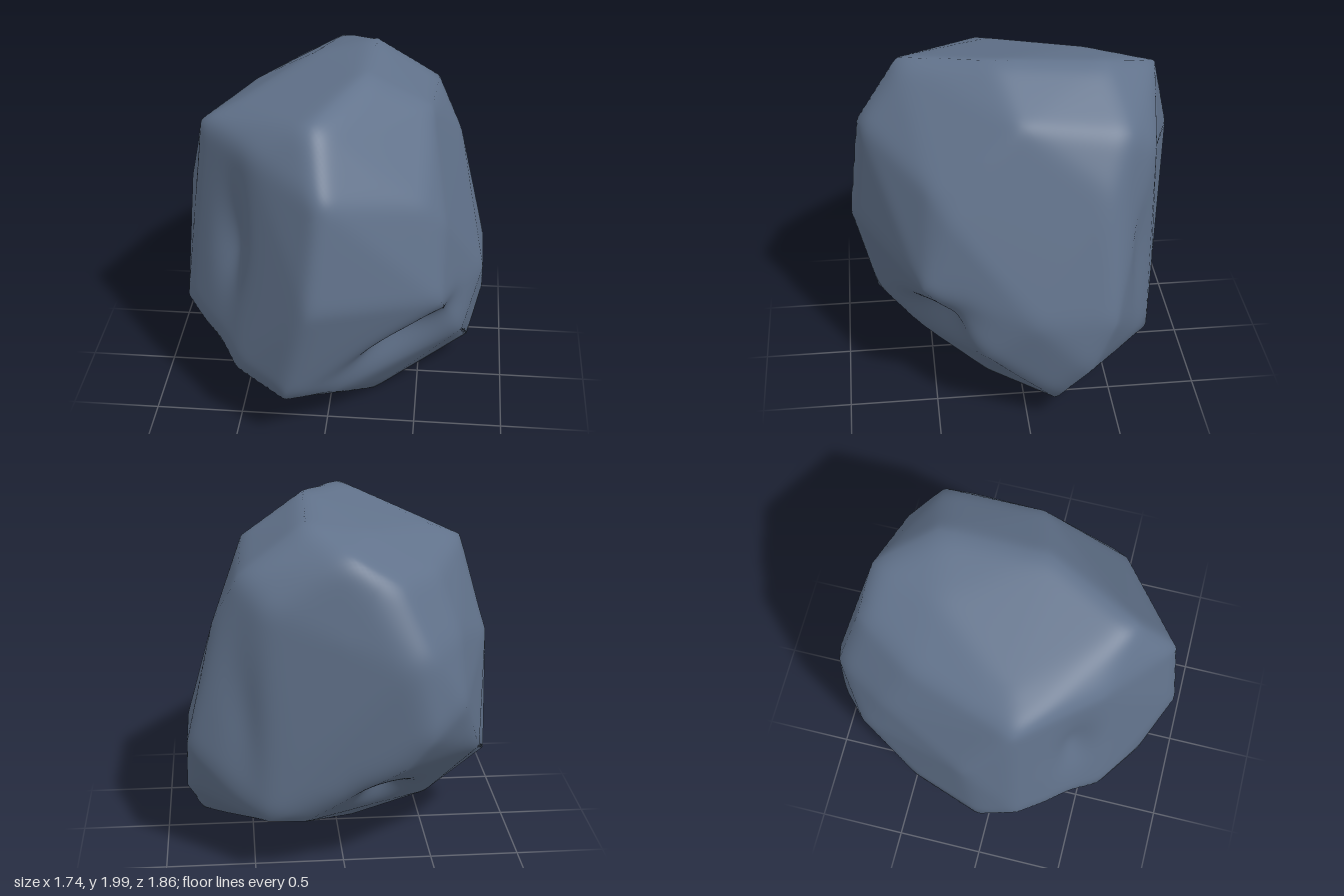
import * as THREE from 'three';
import { mergeVertices } from 'three/addons/utils/BufferGeometryUtils.js';
import { ConvexGeometry } from 'three/addons/geometries/ConvexGeometry.js';

const CENTRE = new THREE.Vector3(0, 0.98, 0);

// Corners of the boulder, by height
const corners = [
  // crown
  [0.18, 2, 0.13], [0.2, 1.97, -0.47], [-0.06, 1.93, 0.64], [-0.02, 1.86, -0.78],
  [-0.15, 1.9, -0.4], [-0.53, 1.8, 0.1], [-0.72, 1.72, 0.16], [-0.4, 1.72, 0.55],
  [0.53, 1.78, 0.02], [0.56, 1.72, -0.55], [-0.26, 1.72, -0.8], [-0.5, 1.7, -0.45],
  // shoulders
  [0, 1.6, 0.87], [0.7, 1.44, -0.44], [0.42, 1.58, -0.72], [-0.42, 1.37, -0.9],
  [-0.32, 1.31, -0.93], [0.63, 1.28, 0.41], [-0.84, 1.23, -0.1], [0.53, 1.42, 0.5],
  [-0.61, 1.38, -0.6],
  // waist
  [-0.06, 0.98, 0.94], [-0.63, 1.03, -0.74], [-0.44, 0.92, -0.91], [0.63, 0.87, 0.56],
  [0.86, 0.74, -0.04], [0.86, 0.74, -0.46], [0.3, 0.74, -0.76], [-0.3, 0.72, -0.85],
  [-0.84, 0.6, 0.2], [-0.77, 0.65, -0.42],
  // foot
  [-0.87, 0.46, -0.03], [0.87, 0.43, -0.33], [-0.21, 0.34, 0.81], [-0.5, 0.4, 0.62],
  [0.43, 0.38, -0.72], [0.23, 0.36, -0.7], [0.73, 0.4, -0.44], [0.04, 0.31, -0.5],
  [0.75, 0.48, 0.23], [0.05, 0.27, 0.63], [0.79, 0.19, -0.15], [-0.68, 0.31, 0.18],
  [-0.53, 0.17, 0], [0.26, 0, 0.19], [-0.09, 0.03, 0],
].map((p) => new THREE.Vector3(...p));

// Hollows: centre, axis of the groove, length, width, depth
const hollows = [
  [[0.44, 0.54, 0.52], [0.85, 0.42, -0.3], 0.34, 0.12, 0.12],
  [[-0.57, 1.18, 0.5], [0, 1, 0], 0.32, 0.12, 0.08],
  [[-0.23, 0.44, -0.5], [-0.45, -0.4, 0.75], 0.22, 0.1, 0.11],
  [[-0.62, 0.4, 0.42], [0.8, -0.1, 0.55], 0.14, 0.09, 0.04],
  [[0.57, 0.95, -0.66], [0, 1, 0.1], 0.42, 0.1, 0.03],
].map(([c, a, ...size]) => [new THREE.Vector3(...c), new THREE.Vector3(...a).normalize(), ...size]);

// Facet planes of the hull around the corners
function hullPlanes() {
  const pos = new ConvexGeometry(corners).getAttribute('position');
  const planes = [];
  for (let i = 0; i < pos.count; i += 3) {
    const [a, b, c] = [0, 1, 2].map((k) => new THREE.Vector3().fromBufferAttribute(pos, i + k));
    planes.push(new THREE.Plane().setFromCoplanarPoints(a, b, c));
  }
  return planes;
}

// Average each normal with its neighbours for soft, worn edges
function softenNormals(geo, passes) {
  const index = geo.index.array;
  const normal = geo.getAttribute('normal');
  for (let n = 0; n < passes; n++) {
    const sum = Float32Array.from(normal.array);
    for (let i = 0; i < index.length; i += 3) {
      for (let k = 0; k < 3; k++) {
        const a = index[i + k] * 3, b = index[i + (k + 1) % 3] * 3;
        for (let j = 0; j < 3; j++) sum[a + j] += normal.array[b + j];
      }
    }
    normal.array.set(sum);
    geo.normalizeNormals();
  }
}

function boulderGeometry() {
  const planes = hullPlanes();
  let geo = new THREE.IcosahedronGeometry(1, 56);
  geo.deleteAttribute('normal');
  geo.deleteAttribute('uv');
  geo = mergeVertices(geo, 1e-4);
  const pos = geo.getAttribute('position');
  const dir = new THREE.Vector3(), p = new THREE.Vector3(), off = new THREE.Vector3();
  for (let i = 0; i < pos.count; i++) {
    dir.fromBufferAttribute(pos, i).normalize();
    // push the sphere out to the nearest facet
    let r = Infinity;
    for (const plane of planes) {
      const slope = plane.normal.dot(dir);
      if (slope > 1e-5) r = Math.min(r, -plane.distanceToPoint(CENTRE) / slope);
    }
    p.copy(CENTRE).addScaledVector(dir, r);
    // press in the hollows
    for (const [c, axis, length, width, depth] of hollows) {
      off.copy(p).sub(c);
      const along = off.dot(axis);
      const across = off.addScaledVector(axis, -along).lengthSq();
      r -= depth * Math.exp(-((along / length) ** 2) - across / (width * width));
    }
    p.copy(CENTRE).addScaledVector(dir, r);
    pos.setXYZ(i, p.x, p.y, p.z);
  }
  geo.computeVertexNormals();
  softenNormals(geo, 12);
  return geo;
}

export function createModel() {
  const stone = new THREE.MeshStandardMaterial({ color: 0x62738c });
  stone.name = 'blueGreyStone';
  const boulder = new THREE.Mesh(boulderGeometry(), stone);
  boulder.name = 'boulder';
  const group = new THREE.Group();
  group.name = 'rock';
  group.add(boulder);
  return group;
}
